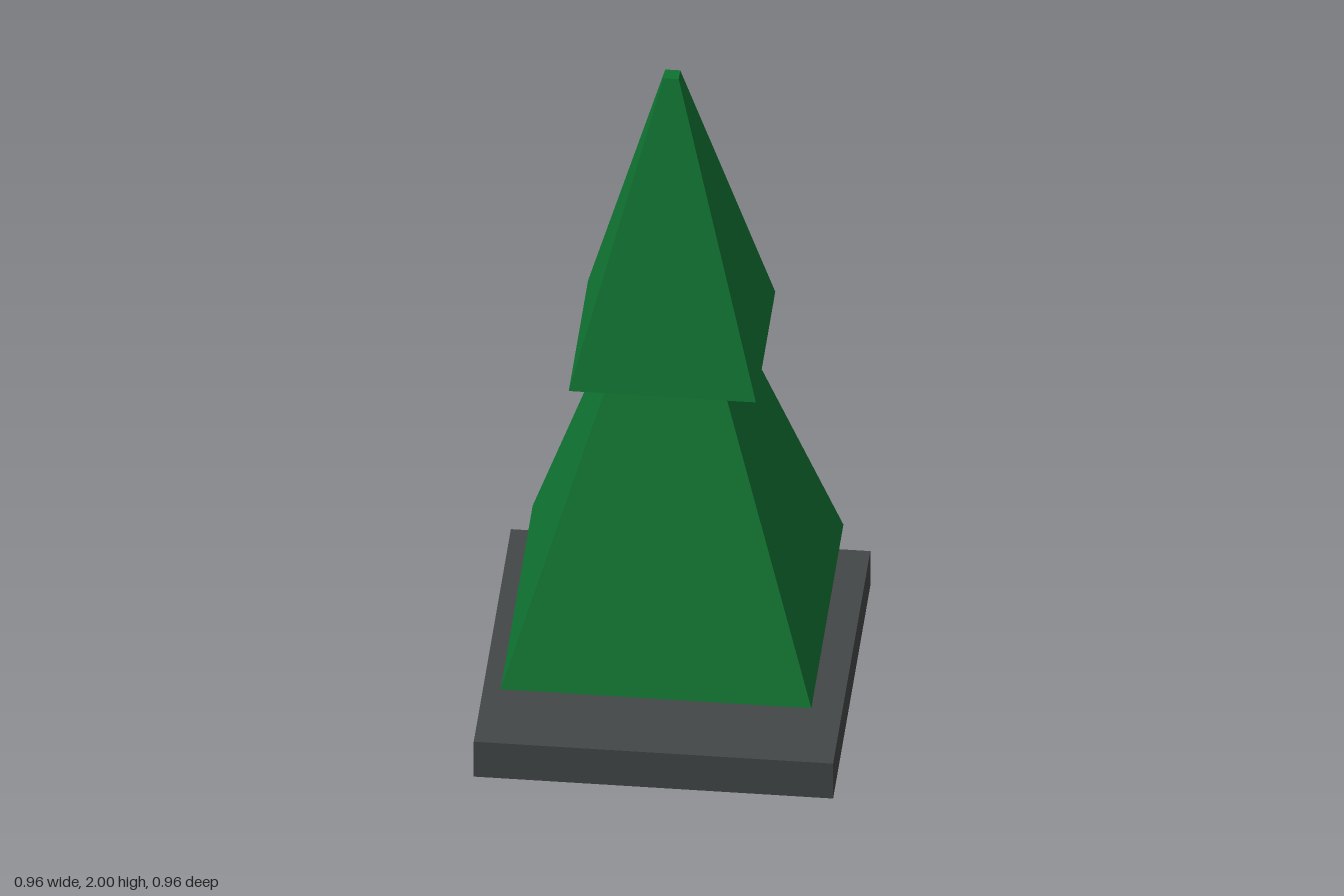
import * as THREE from 'three';

const material = (name, color, side = THREE.FrontSide) => {
  const m = new THREE.MeshStandardMaterial({ side, flatShading: true });
  m.name = name;
  m.color.setHex(color);
  return m;
};

// Square frustum between two heights, given by half widths
function squareTier(bottomHalf, topHalf, y0, y1) {
  const g = new THREE.CylinderGeometry(topHalf * Math.SQRT2, bottomHalf * Math.SQRT2, y1 - y0, 4);
  g.rotateY(Math.PI / 4);
  g.translate(0, (y0 + y1) / 2, 0);
  const flat = g.toNonIndexed();
  flat.computeVertexNormals();
  return flat;
}

// Square box without the listed faces (2 = top, 3 = bottom)
function openBox(half, y0, y1, missing) {
  const g = new THREE.BoxGeometry(half * 2, y1 - y0, half * 2);
  g.translate(0, (y0 + y1) / 2, 0);
  const index = Array.from(g.index.array);
  g.setIndex(index.filter((_, i) => !missing.includes(Math.floor(i / 6))));
  g.clearGroups();
  return g;
}

export function createModel() {
  const group = new THREE.Group();
  group.name = 'tree';
  const green = material('foliage green', 0x0f7331);
  const brown = material('trunk brown', 0x6b4029, THREE.DoubleSide);
  const grey = material('base grey', 0x434748, THREE.DoubleSide);

  const add = (name, geometry, mat) => {
    const mesh = new THREE.Mesh(geometry, mat);
    mesh.name = name;
    group.add(mesh);
  };

  // Hollow base, open underneath
  add('base', openBox(0.48, 0, 0.115, [3]), grey);
  // Open trunk, poking slightly through the base
  add('trunk', openBox(0.06, 0.095, 0.25, [2, 3]), brown);
  // Two tiers of foliage
  add('lowerFoliage', squareTier(0.415, 0.145, 0.245, 1.12), green);
  add('upperFoliage', squareTier(0.25, 0.02, 1.12, 2), green);
  return group;
}
